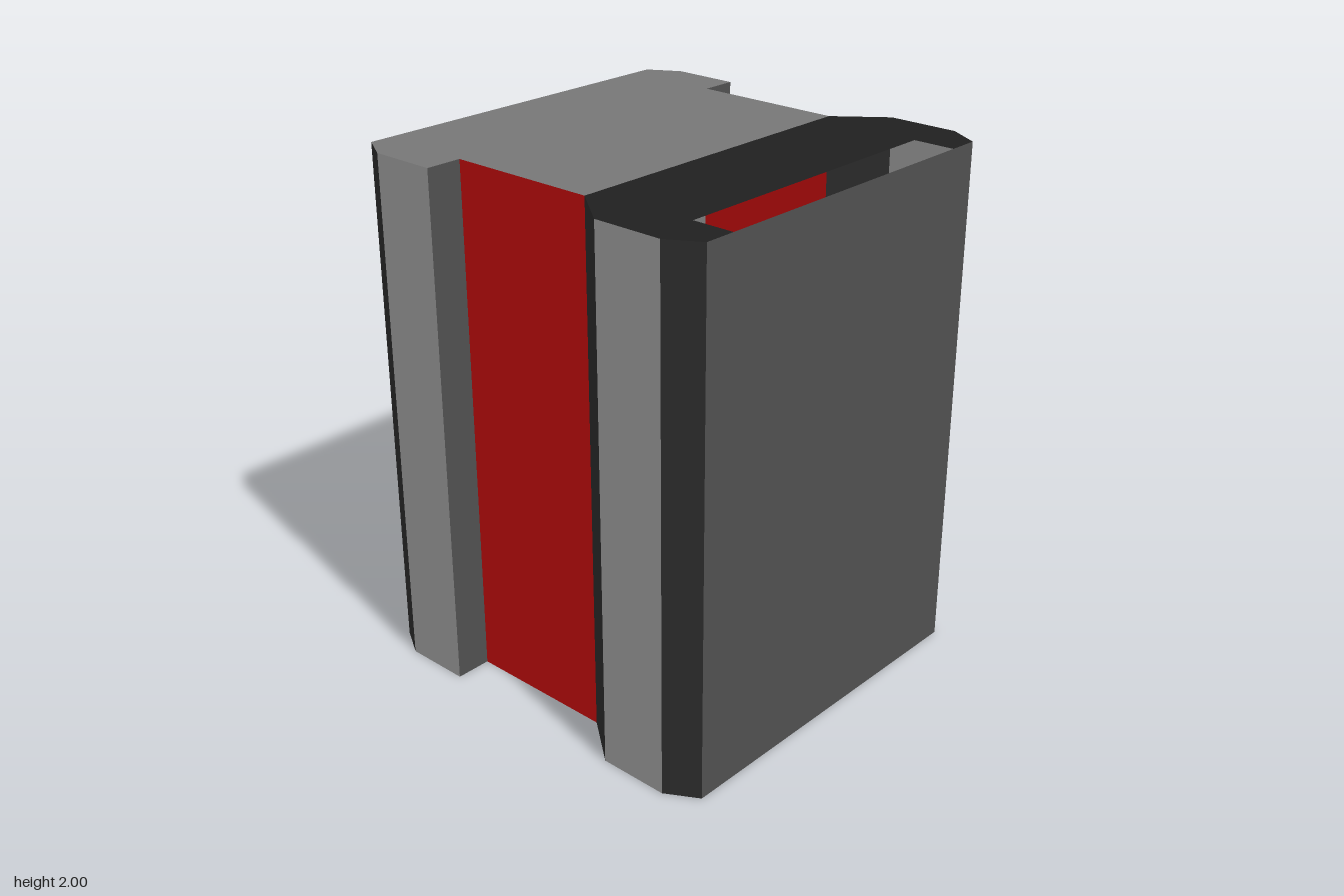
import * as THREE from 'three';

const H = 2;
const paint = (color) => new THREE.MeshStandardMaterial({ color, side: THREE.DoubleSide, flatShading: true });
const lightGrey = paint(0xcccccc);
const midGrey = paint(0x9a9a9a);
const plateGrey = paint(0x767676);
const panelGrey = paint(0x505050);
const dark = paint(0x2c2c2c);
const black = paint(0x1f1f1f);
const red = paint(0xc00c0c);
const brightRed = paint(0xff1010);
const white = paint(0xffffff);

// Half outline as [x, z], running from front to back along the +x side
const side = [[0.7, 0.77], [0.77, 0.65], [0.77, 0.38], [0.63, 0.2], [0.63, -0.39], [0.77, -0.39], [0.77, -0.65], [0.7, -0.77]];
const strips = [
  ['frontChamfer', dark], ['frontSide', midGrey], ['grooveSlope', dark], ['grooveFloor', red],
  ['grooveStep', panelGrey], ['backSide', midGrey], ['backChamfer', dark],
];
const slot = [[0.58, 0.77], [0.58, 0.61]];
const slotEdge = [[0.58, 0.61], [0.58, 0.77]];

const mirror = (pts) => pts.map(([x, z]) => [-x, z]).reverse();
const both = (half) => [...half, ...mirror(half)];

export function createModel() {
  const group = new THREE.Group();

  const add = (name, geometry, material) => {
    const mesh = new THREE.Mesh(geometry, material);
    mesh.name = name;
    group.add(mesh);
  };

  // Upright sheet from p to q, facing outward
  const wall = (name, p, q, material) => {
    const dx = q[0] - p[0], dz = q[1] - p[1];
    const g = new THREE.PlaneGeometry(Math.hypot(dx, dz), H);
    g.rotateY(Math.atan2(-dz, dx));
    g.translate((p[0] + q[0]) / 2, H / 2, (p[1] + q[1]) / 2);
    add(name, g, material);
  };

  // Flat sheet at height y with the given outline, facing up or down
  const cap = (name, outline, y, up, material) => {
    const s = up ? -1 : 1;
    const g = new THREE.ShapeGeometry(new THREE.Shape(outline.map(([x, z]) => new THREE.Vector2(x, s * z))));
    g.rotateX(s * Math.PI / 2);
    g.translate(0, y, 0);
    add(name, g, material);
  };

  // Walls around the hollow body, with red groove floors on both sides
  wall('frontPanel', [-0.7, 0.77], [0.7, 0.77], panelGrey);
  wall('backPanel', [0.7, -0.77], [-0.7, -0.77], lightGrey);
  const other = mirror(side);
  strips.forEach(([name, material], i) => {
    wall(name + 'Left', side[i], side[i + 1], material);
    wall(name + 'Right', other[6 - i], other[7 - i], material);
  });

  // Top: rear plate and dark front rim with an open slot
  cap('topPlate', both(side.slice(3)), H, true, plateGrey);
  cap('topRim', both([...slotEdge, ...side.slice(0, 4)]), H, true, black);

  // Bottom: rear plate, an open gap, then the front rim
  cap('bottomPlate', both(side.slice(3)), 0, false, white);
  cap('bottomRim', both([...slotEdge, ...side.slice(0, 3)]), 0, false, white);

  // Slot floor: red below with one pale corner, grey inside
  const cut = [[0.58, 0.72], [0.17, 0.61]];
  cap('slotCover', [slot[0], ...cut, ...mirror(slot)], 0, false, brightRed);
  cap('slotCorner', [cut[0], slot[1], cut[1]], 0, false, white);
  cap('slotFloor', both(slot), 0.005, true, midGrey);

  return group;
}
